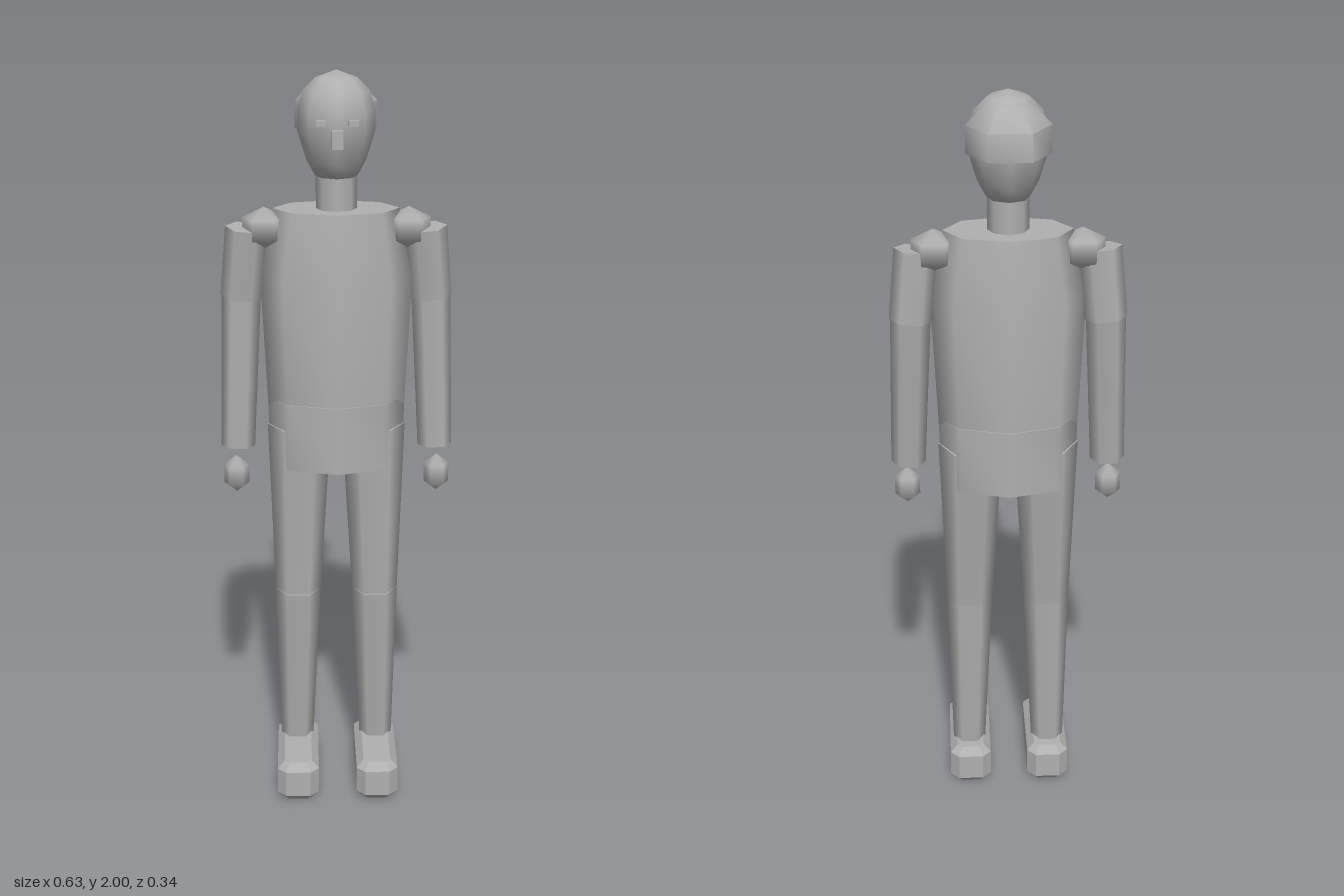
import * as THREE from 'three';
import { toCreasedNormals } from 'three/addons/utils/BufferGeometryUtils.js';

const UP = new THREE.Vector3(0, 1, 0);

export function createModel() {
  const model = new THREE.Group();
  model.name = 'figure';
  const grey = new THREE.MeshStandardMaterial({ color: 0xb0b0b0 });
  grey.name = 'plain grey';

  const add = (name, geometry, x = 0, y = 0, z = 0) => {
    const mesh = new THREE.Mesh(geometry, grey);
    mesh.name = name;
    mesh.position.set(x, y, z);
    model.add(mesh);
    return mesh;
  };

  // Turned body, squashed or stretched in depth; caps stay sharp
  const turned = (profile, sides, depth, turn = 0) => {
    const lathe = new THREE.LatheGeometry(profile.map(p => new THREE.Vector2(...p)), sides);
    return toCreasedNormals(lathe, 1.1).rotateY(turn).scale(1, 1, depth);
  };

  // Six-sided tapered limb from point a (top) to point b (bottom)
  const limb = (name, a, b, ra, rb) => {
    const top = new THREE.Vector3(...a), bottom = new THREE.Vector3(...b);
    const axis = top.clone().sub(bottom);
    const geometry = new THREE.CylinderGeometry(ra, rb, axis.length(), 6).rotateY(Math.PI / 2);
    const mesh = add(name, geometry);
    mesh.position.copy(top).add(bottom).multiplyScalar(0.5);
    mesh.quaternion.setFromUnitVectors(UP, axis.normalize());
  };

  // Torso and pelvis
  add('torso', turned([[0, 1.1], [0.183, 1.1], [0.2, 1.47], [0.165, 1.65], [0, 1.65]], 8, 0.64), 0, 0, -0.04);
  add('pelvis', turned([[0, 0.955], [0.181, 0.955], [0.184, 1.14], [0, 1.14]], 8, 0.665), 0, 0, -0.04);

  // Neck and head
  add('neck', new THREE.CylinderGeometry(0.053, 0.053, 0.14, 8), 0, 1.7, -0.037);
  add('head', turned([[0, 1.73], [0.055, 1.735], [0.077, 1.775], [0.1, 1.85], [0.1, 1.9],
    [0.085, 1.95], [0.052, 1.982], [0, 2]], 8, 1.15), 0, 0, -0.037);
  add('hair', turned([[0, 1.85], [0.106, 1.85], [0.106, 1.92], [0.055, 1.975], [0, 1.977]], 6, 1, Math.PI / 2), 0, 0, -0.068);
  add('nose', new THREE.BoxGeometry(0.028, 0.045, 0.04), 0, 1.843, 0.08);

  // Foot outline with cut corners, bevelled above and below
  const w = 0.058, l = 0.145, c = 0.024;
  const outline = new THREE.Shape([[w - c, -l], [w, c - l], [w, l - c], [w - c, l], [c - w, l],
    [-w, l - c], [-w, c - l], [c - w, -l]].map(p => new THREE.Vector2(...p)));
  const footGeometry = new THREE.ExtrudeGeometry(outline, {
    depth: 0.075, bevelThickness: 0.021, bevelSize: 0.02, bevelOffset: -0.02, bevelSegments: 1,
  }).rotateX(-Math.PI / 2);

  for (const s of [1, -1]) {
    const side = s > 0 ? 'left' : 'right';
    add(side + 'Eye', new THREE.BoxGeometry(0.026, 0.014, 0.03), s * 0.04, 1.881, 0.067);

    // Arm
    add(side + 'Shoulder', new THREE.SphereGeometry(1, 6, 3).scale(0.066, 0.055, 0.07), s * 0.188, 1.599, -0.04);
    limb(side + 'UpperArm', [s * 0.233, 1.6, -0.037], [s * 0.25, 1.415, -0.05], 0.056, 0.056);
    limb(side + 'Forearm', [s * 0.25, 1.44, -0.051], [s * 0.267, 1.005, -0.027], 0.052, 0.046);
    add(side + 'Hand', new THREE.SphereGeometry(1, 6, 3).scale(0.039, 0.052, 0.041), s * 0.272, 0.928, -0.014);

    // Leg
    limb(side + 'Thigh', [s * 0.1, 1.06, -0.04], [s * 0.107, 0.58, -0.025], 0.086, 0.063);
    limb(side + 'Shin', [s * 0.107, 0.58, -0.025], [s * 0.113, 0.11, -0.036], 0.063, 0.046);
    add(side + 'Foot', footGeometry, s * 0.111, 0.021, 0.022);
  }
  return model;
}
